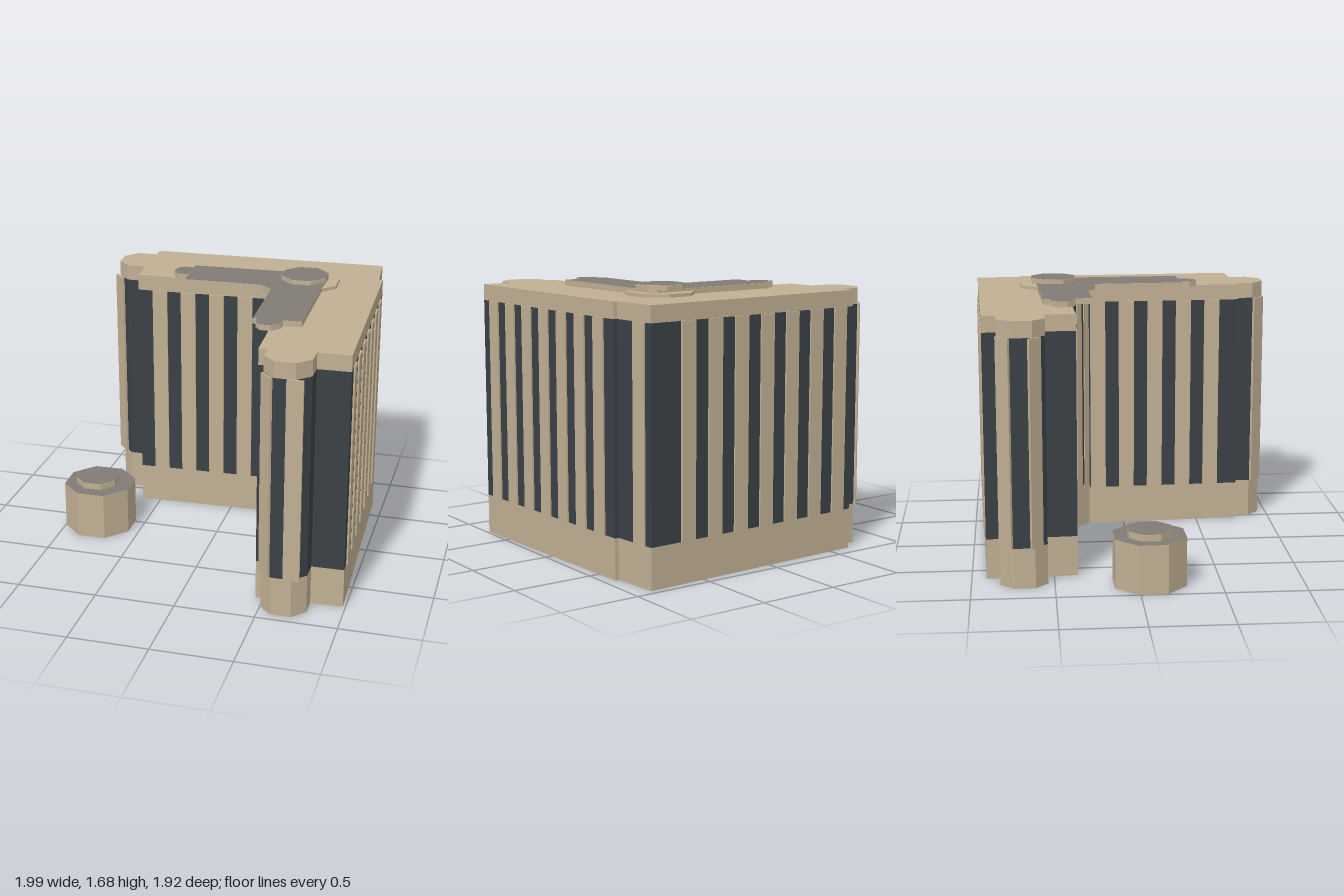
import * as THREE from 'three';

const stone = new THREE.MeshStandardMaterial({ color: 0xc0af93 });
stone.name = 'stone';
const glass = new THREE.MeshStandardMaterial({ color: 0x3a4046 });
glass.name = 'darkGlass';
const roofGrey = new THREE.MeshStandardMaterial({ color: 0x817b74 });
roofGrey.name = 'roofGrey';

// Outlines are [x, z] points, clockwise seen from above.
const footprint = [
  [-0.65, -0.91], [0.88, -0.96], [0.905, -0.665], [0.93, -0.665], [0.985, 0.745],
  [0.785, 0.75], [0.785, 0.865], [0.705, 0.945], [0.58, 0.945], [0.505, 0.87], [0.505, 0.77],
  [0.45, 0.77], [0.41, -0.235], [0.26, -0.385], [-0.625, -0.355],
  [-0.635, -0.54], [-0.76, -0.54], [-0.835, -0.615], [-0.84, -0.74], [-0.765, -0.825], [-0.645, -0.825],
];
const upperRoof = [
  [-0.29, -0.54], [0.56, -0.575], [0.6, -0.53], [0.595, -0.35], [0.615, 0.365],
  [0.5, 0.37], [0.5, 0.42], [0.45, 0.475], [0.385, 0.475], [0.35, 0.43], [0.35, 0.375], [0.32, 0.375],
  [0.3, -0.19], [0.215, -0.255], [-0.275, -0.24],
  [-0.28, -0.345], [-0.35, -0.345], [-0.39, -0.395], [-0.39, -0.455], [-0.355, -0.495], [-0.29, -0.495],
];

// Octagon with axis-aligned sides, turned slightly like the rest of the block
function octagon(cx, cz, halfWidth) {
  const r = halfWidth / Math.cos(Math.PI / 8);
  return Array.from({ length: 8 }, (_, i) => {
    const a = (i + 0.5) * Math.PI / 4 - 0.03;
    return [cx + r * Math.cos(a), cz + r * Math.sin(a)];
  });
}

const toShape = (pts) => new THREE.Shape(pts.map(([x, z]) => new THREE.Vector2(x, -z)));

function add(group, name, geometry, material) {
  const mesh = new THREE.Mesh(geometry, material);
  mesh.name = name;
  group.add(mesh);
  return mesh;
}

// Vertical prism between two heights
function prism(group, name, pts, y0, y1, material) {
  const g = new THREE.ExtrudeGeometry(toShape(pts), { depth: y1 - y0, bevelEnabled: false });
  g.rotateX(-Math.PI / 2).translate(0, y0, 0);
  add(group, name, g, material);
}

// Stone prism with a grey sheet on top
function cappedPrism(group, name, pts, y0, y1) {
  prism(group, name, pts, y0, y1, stone);
  const g = new THREE.ShapeGeometry(toShape(pts));
  g.rotateX(-Math.PI / 2).translate(0, y1 + 0.001, 0);
  add(group, name + 'Cover', g, roofGrey);
}

// Upright plate standing on the wall line a-b, proud on the outer side
function plate(group, name, a, b, y0, y1, proud, material) {
  const dx = b[0] - a[0], dz = b[1] - a[1], len = Math.hypot(dx, dz);
  const thick = proud + 0.004;
  const g = new THREE.BoxGeometry(len, y1 - y0, thick);
  const mesh = add(group, name, g, material);
  const off = (proud - 0.004) / 2;
  mesh.position.set((a[0] + b[0]) / 2 + dz / len * off, (y0 + y1) / 2, (a[1] + b[1]) / 2 - dx / len * off);
  mesh.rotation.y = Math.atan2(-dz, dx);
}

// Row of pilasters along a wall; axis 0 places the centres by x, axis 1 by z
function pilasters(group, name, a, b, axis, centres, width) {
  const at = (v) => {
    const t = (v - a[axis]) / (b[axis] - a[axis]);
    return [a[0] + t * (b[0] - a[0]), a[1] + t * (b[1] - a[1])];
  };
  const half = Math.sign(b[axis] - a[axis]) * width / 2;
  centres.forEach((c) => plate(group, name, at(c - half), at(c + half), 0.25, 1.515, 0.01, stone));
}

const series = (start, step, n) => Array.from({ length: n }, (_, i) => start + i * step);

export function createModel() {
  const model = new THREE.Group();
  model.name = 'cornerBuilding';

  // Main L-shaped block: plinth, glazed storeys, cornice
  prism(model, 'plinth', footprint, 0, 0.25, stone);
  prism(model, 'glazedWalls', footprint, 0.25, 1.515, glass);
  prism(model, 'cornice', footprint, 1.515, 1.615, stone);

  // Pilasters on the long walls
  const f = footprint;
  const walls = new THREE.Group();
  walls.name = 'pilasters';
  model.add(walls);
  pilasters(walls, 'backPilaster', f[0], f[1], 0, series(-0.545, 0.194, 7), 0.1);
  pilasters(walls, 'cornerPilaster', f[1], f[2], 1, [-0.86], 0.1);
  pilasters(walls, 'sidePilaster', f[3], f[4], 1, series(-0.52, 0.19, 7), 0.1);
  pilasters(walls, 'innerSidePilaster', f[11], f[12], 1, series(-0.17, 0.19, 5), 0.1);
  pilasters(walls, 'innerBackPilaster', f[13], f[14], 0, series(-0.48, 0.189, 4), 0.098);

  // Plates on the end bays
  const bayPlates = [
    [[0.755, 0.945], [0.655, 0.945]], [[0.57, 0.945], [0.5, 0.875]],
    [[-0.797, -0.573], [-0.865, -0.642]], [[-0.842, -0.75], [-0.77, -0.823]],
  ];
  bayPlates.forEach(([a, b]) => plate(walls, 'bayPilaster', a, b, 0.25, 1.515, 0.012, stone));

  // Chamfered bay in the inner corner
  plate(model, 'innerCornerBase', f[12], f[13], 0, 0.28, 0.006, stone);
  plate(model, 'innerCornerGlass', f[12], f[13], 0.28, 1.53, 0.004, glass);
  pilasters(walls, 'innerCornerPilaster', f[12], f[13], 0, [0.28, 0.345, 0.393], 0.033);

  // Stepped roof
  prism(model, 'roofStep', octagon(0.475, -0.475, 0.195), 1.615, 1.635, stone);
  cappedPrism(model, 'upperRoof', upperRoof, 1.616, 1.65);
  cappedPrism(model, 'roofTurret', octagon(0.46, -0.457, 0.141), 1.645, 1.678);

  // Free-standing pavilion
  cappedPrism(model, 'pavilion', octagon(-0.783, 0.068, 0.215), 0, 0.304);
  cappedPrism(model, 'pavilionTop', octagon(-0.795, 0.068, 0.131), 0.304, 0.345);

  return model;
}
